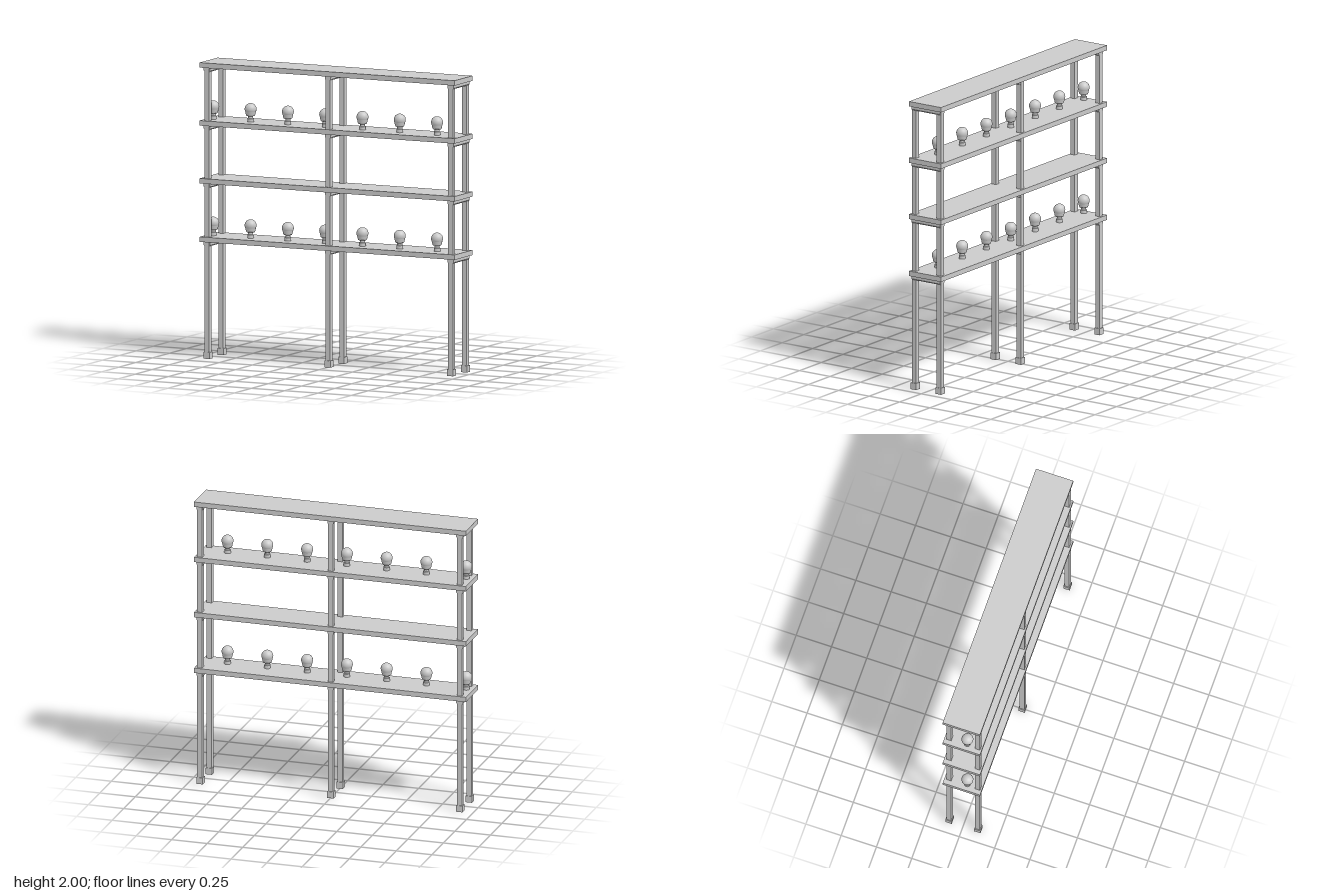
import * as THREE from 'three';

const grey = new THREE.MeshStandardMaterial({ color: 0xcccccc });
const SHELF_TOPS = [0.822, 1.217, 1.608, 2.0];
const SHELF_T = 0.034;
const POST_X = [-0.908, 0, 0.921];
const POST_Z = [0.104, -0.1];

function add(parent, name, geometry, x, y, z) {
  const mesh = new THREE.Mesh(geometry, grey);
  mesh.name = name;
  mesh.position.set(x, y, z);
  parent.add(mesh);
  return mesh;
}

// Cross bar running front to back, with chamfered lower edges
function crossBarGeometry(width, height, length) {
  const w = width / 2, c = 0.008;
  const s = new THREE.Shape();
  s.moveTo(-w, 0);
  s.lineTo(-w, -height + c);
  s.lineTo(-w + c, -height);
  s.lineTo(w - c, -height);
  s.lineTo(w, -height + c);
  s.lineTo(w, 0);
  s.closePath();
  const g = new THREE.ExtrudeGeometry(s, { depth: length, bevelEnabled: false });
  return g.translate(0, 0, -length / 2);
}

// Stepped turned stand and tapering cup below the globe
function standGeometry() {
  const profile = [
    [0, 0], [0.022, 0], [0.022, 0], [0.022, 0.022], [0.022, 0.022],
    [0.017, 0.025], [0.017, 0.025], [0.017, 0.038], [0.017, 0.038],
    [0.027, 0.04], [0.031, 0.046], [0.031, 0.046], [0.038, 0.078],
    [0.038, 0.078], [0, 0.08],
  ].map(([r, y]) => new THREE.Vector2(r, y));
  return new THREE.LatheGeometry(profile, 24);
}

export function createModel() {
  const model = new THREE.Group();
  model.name = 'shelfUnit';

  // Shelf boards
  const board = new THREE.BoxGeometry(1.914, SHELF_T, 0.264);
  for (const top of SHELF_TOPS) add(model, 'shelf', board, 0, top - SHELF_T / 2, 0);

  // Posts with square feet, and the cross bars under every shelf
  const post = new THREE.BoxGeometry(0.035, 1.97, 0.035);
  const foot = new THREE.BoxGeometry(0.045, 0.045, 0.045);
  for (const x of POST_X) {
    for (const z of POST_Z) {
      add(model, 'post', post, x, 0.985, z);
      add(model, 'foot', foot, x, 0.0225, z);
    }
    const bar = crossBarGeometry(x === 0 ? 0.042 : 0.048, 0.028, 0.236);
    for (const top of SHELF_TOPS) add(model, 'crossBar', bar, x, top - SHELF_T, 0.002);
  }

  // Rows of globes on the first and third shelves
  const stand = standGeometry();
  const globe = new THREE.SphereGeometry(0.04, 24, 16);
  for (const top of [SHELF_TOPS[0], SHELF_TOPS[2]]) {
    for (let i = 0; i < 7; i++) {
      const ornament = new THREE.Group();
      ornament.name = 'globeOrnament';
      ornament.position.set(-0.908 + i * 0.28, top, 0.026);
      add(ornament, 'stand', stand, 0, 0, 0);
      add(ornament, 'globe', globe, 0, 0.086, 0);
      model.add(ornament);
    }
  }
  return model;
}
